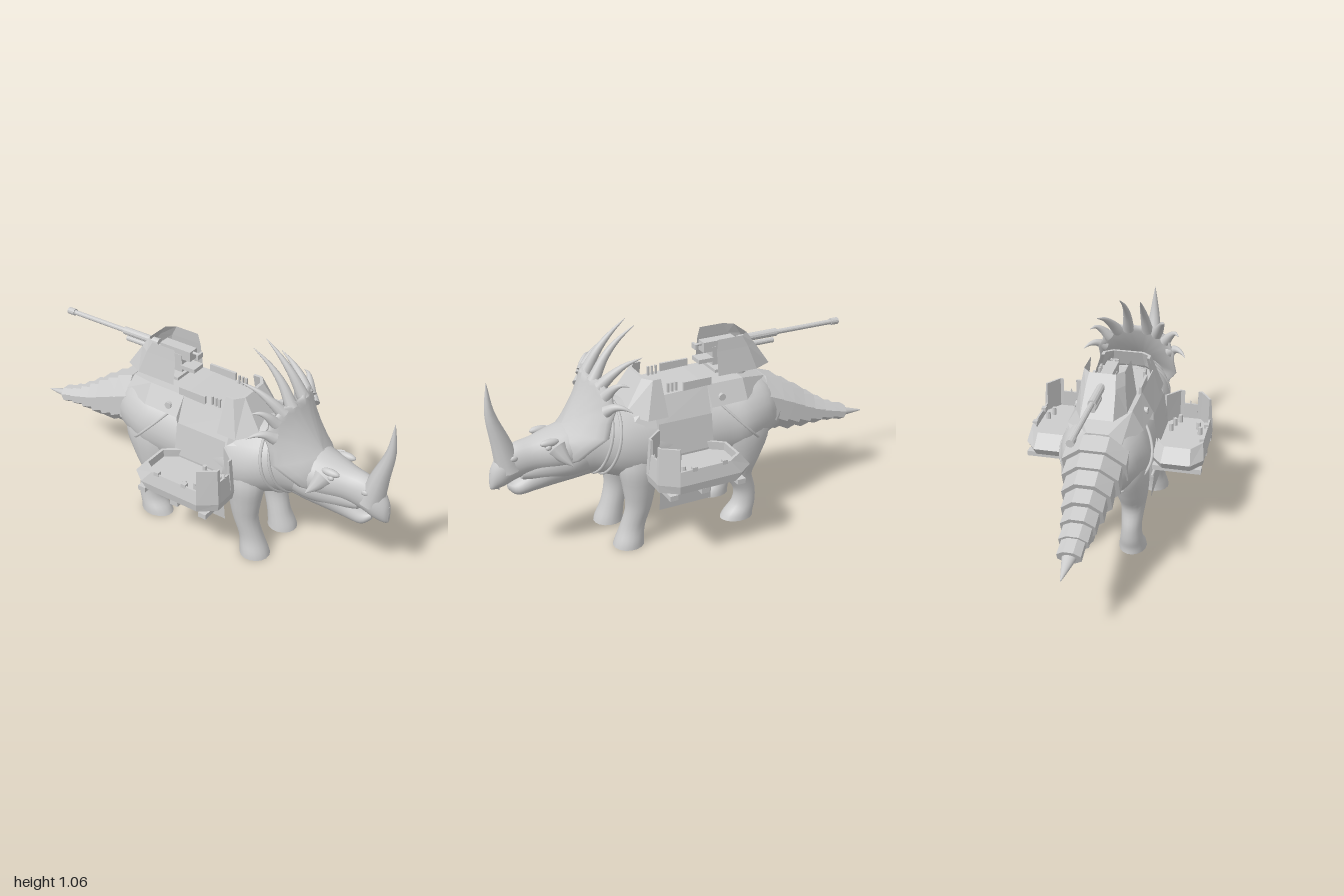
import * as THREE from 'three';

const smooth = new THREE.MeshStandardMaterial({ color: 0xcccccc });
const flat = new THREE.MeshStandardMaterial({ color: 0xcccccc, flatShading: true });
const sheet = new THREE.MeshStandardMaterial({ color: 0xcccccc, flatShading: true, side: THREE.DoubleSide });
const V = (x, y, z) => new THREE.Vector3(x, y, z);

export function createModel() {
  const model = new THREE.Group();
  const add = (name, geo, mat = flat) => {
    const m = new THREE.Mesh(geo, mat);
    m.name = name;
    model.add(m);
  };

  // Closed skin through rings of points, capped at both ends and turned outward
  function loft(rings) {
    const n = rings[0].length, pos = [], idx = [];
    const put = p => pos.push(p.x, p.y, p.z) / 3 - 1;
    rings.forEach(r => r.forEach(put));
    for (let i = 0; i < rings.length - 1; i++) for (let j = 0; j < n; j++) {
      const a = i * n + j, b = i * n + (j + 1) % n;
      idx.push(a, b, a + n, b, b + n, a + n);
    }
    [rings[0], rings[rings.length - 1]].forEach((r, end) => {
      const c = put(r.reduce((s, p) => s.add(p), V(0, 0, 0)).divideScalar(n));
      const e = r.map(put);
      for (let j = 0; j < n; j++) {
        const k = (j + 1) % n;
        end ? idx.push(c, e[j], e[k]) : idx.push(c, e[k], e[j]);
      }
    });
    const at = i => V(pos[3 * i], pos[3 * i + 1], pos[3 * i + 2]);
    let vol = 0;
    for (let i = 0; i < idx.length; i += 3) vol += at(idx[i]).dot(at(idx[i + 1]).cross(at(idx[i + 2])));
    if (vol < 0) idx.reverse();
    return finish(pos, idx);
  }
  function finish(pos, idx) {
    const g = new THREE.BufferGeometry();
    g.setAttribute('position', new THREE.Float32BufferAttribute(pos, 3));
    g.setIndex(idx);
    g.computeVertexNormals();
    return g;
  }
  // Open plate through rows of points
  function plate(rows) {
    const n = rows[0].length, idx = [];
    for (let i = 0; i < rows.length - 1; i++) for (let j = 0; j < n - 1; j++) {
      const a = i * n + j;
      idx.push(a, a + 1, a + n, a + 1, a + n + 1, a + n);
    }
    return finish(rows.flat(2), idx);
  }
  // Smooth in-between sections
  function dense(S, n = 4) {
    const out = [], g = i => S[Math.max(0, Math.min(S.length - 1, i))];
    for (let i = 0; i < S.length - 1; i++) for (let k = 0; k < n; k++) {
      const t = k / n;
      out.push(S[i].map((b, j) => {
        const a = g(i - 1)[j], c = g(i + 1)[j], d = g(i + 2)[j];
        return b + 0.5 * t * (c - a + t * (2 * a - 5 * b + 4 * c - d + t * (3 * (b - c) + d - a)));
      }));
    }
    return [...out, S[S.length - 1]];
  }
  const around = (n, f) => Array.from({ length: n }, (_, j) => f(Math.PI * 2 * (j + 0.5) / n));
  const ringZ = ([z, y, rx, ry], n = 24, tilt = 0) =>
    around(n, a => V(rx * Math.cos(a), y + ry * Math.sin(a), z - tilt * ry * Math.sin(a)));
  const trunk = (name, S) => add(name, loft(dense(S).map(s => ringZ(s))), smooth);
  const lookup = (S, z) => {
    let i = 0;
    while (i < S.length - 2 && S[i + 1][0] > z) i++;
    const t = (z - S[i][0]) / (S[i + 1][0] - S[i][0]);
    return S[i].map((v, j) => v + (S[i + 1][j] - v) * t);
  };
  // Curved tapering spike
  function horn(name, pts, r, squash = 1) {
    const c = new THREE.CatmullRomCurve3(pts.map(p => V(...p))), n = 12, f = c.computeFrenetFrames(n);
    add(name, loft(Array.from({ length: n + 1 }, (_, i) => {
      const p = c.getPointAt(i / n), q = r * Math.pow(1 - i / n, 0.95) + 0.001;
      return around(10, a => p.clone().addScaledVector(f.normals[i], q * Math.cos(a))
        .addScaledVector(f.binormals[i], q * squash * Math.sin(a)));
    })), smooth);
  }
  const box = (name, x, y, z, w, h, d) => add(name, new THREE.BoxGeometry(w, h, d).translate(x, y, z));
  const rod = (name, x, y, z0, z1, r) =>
    add(name, new THREE.CylinderGeometry(r, r, Math.abs(z1 - z0), 12).rotateX(Math.PI / 2).translate(x, y, (z0 + z1) / 2));
  const ball = (name, x, y, z, sx, sy, sz) =>
    add(name, new THREE.SphereGeometry(1, 16, 10).scale(sx, sy, sz).translate(x, y, z), smooth);

  // Body, neck and tail
  const body = [[0.62, 0.5, 0.1, 0.12], [0.52, 0.53, 0.14, 0.165], [0.42, 0.515, 0.19, 0.185], [0.3, 0.49, 0.208, 0.208],
    [0.1, 0.485, 0.2, 0.205], [-0.1, 0.495, 0.2, 0.205], [-0.22, 0.513, 0.21, 0.203], [-0.34, 0.53, 0.178, 0.17],
    [-0.42, 0.515, 0.13, 0.13], [-0.5, 0.49, 0.1, 0.1], [-0.7, 0.42, 0.06, 0.04], [-0.85, 0.375, 0.035, 0.026], [-1, 0.35, 0.003, 0.003]];
  trunk('body', body);

  // Harness straps follow the body
  const bodyFine = dense(body);
  const strap = (name, zMid, lean, grow) => add(name, new THREE.TubeGeometry(new THREE.CatmullRomCurve3(around(32, a => {
    const [z, y, rx, ry] = lookup(bodyFine, zMid + lean * Math.sin(a));
    return V(rx * grow * Math.cos(a), y + ry * 1.01 * Math.sin(a), z);
  }), true), 64, 0.007, 6, true), smooth);
  strap('neckStrap', 0.45, -0.045, 1.01);
  strap('neckStrap', 0.485, -0.045, 1.01);
  strap('hipStrap', -0.2, 0.17, 1.03);

  // Overlapping tail armour
  const tail = [[-0.33, 0.57, 0.155, 0.125], [-0.5, 0.495, 0.112, 0.1], [-0.6, 0.45, 0.088, 0.07],
    [-0.7, 0.42, 0.07, 0.045], [-0.87, 0.372, 0.042, 0.028]];
  for (let i = 0; i < 7; i++) {
    const z = -0.33 - i * 0.076, a = lookup(tail, z), b = lookup(tail, z - 0.084);
    add('tailArmour', loft([ringZ(a, 8, 0.42), ringZ([b[0], b[1], a[2] * 1.02, a[3] * 1.06], 8, 0.42)]));
  }

  // Skull, cheeks, jaw, nose horn and beak
  trunk('skull', [[0.52, 0.53, 0.1, 0.1], [0.62, 0.525, 0.125, 0.11], [0.7, 0.52, 0.112, 0.1], [0.8, 0.513, 0.077, 0.083],
    [0.88, 0.498, 0.062, 0.085], [0.94, 0.47, 0.055, 0.08], [0.985, 0.435, 0.033, 0.055], [1, 0.41, 0.01, 0.025]]);
  trunk('cheeks', [[0.52, 0.48, 0.1, 0.1], [0.62, 0.475, 0.118, 0.1], [0.7, 0.465, 0.102, 0.09],
    [0.8, 0.45, 0.068, 0.06], [0.86, 0.44, 0.045, 0.035]]);
  trunk('lowerJaw', [[0.52, 0.46, 0.09, 0.1], [0.62, 0.455, 0.1, 0.1], [0.72, 0.43, 0.082, 0.085],
    [0.8, 0.395, 0.06, 0.06], [0.88, 0.363, 0.04, 0.034], [0.92, 0.38, 0.012, 0.016]]);
  horn('noseHorn', [[0, 0.47, 0.905], [0, 0.6, 0.935], [0, 0.75, 0.972], [0, 0.895, 0.975]], 0.068, 0.92);
  horn('beakTip', [[0, 0.45, 0.96], [0, 0.41, 0.975], [0, 0.37, 0.96]], 0.038);

  // Domed frill, sweeping forward into the face, with a spiked rim
  const half = [[0.022, 0.85], [0.05, 0.875], [0.075, 0.85], [0.11, 0.86], [0.14, 0.828], [0.17, 0.815], [0.178, 0.775],
    [0.198, 0.745], [0.194, 0.68], [0.205, 0.61], [0.18, 0.56], [0.14, 0.5], [0.08, 0.46]];
  const rim = [...half, ...half.map(([x, y]) => [-x, y]).reverse()];
  const frillRing = (s, back) => rim.map(([px, py]) => {
    const x = px * s, y = 0.63 + (py - 0.63) * s, d = Math.min(0.87 - y, 0.3);
    return V(x, y, 0.525 + 0.25 * d + 1.2 * d * d - (1.5 + 8 * Math.max(d, 0)) * x * x - back);
  });
  add('frill', loft([...[0.02, 0.3, 0.6, 0.85, 0.97].map(s => frillRing(s, 0)), frillRing(1, 0.012),
    ...[0.97, 0.85, 0.6, 0.3, 0.02].map(s => frillRing(s, 0.028))]), smooth);
  for (const s of [-1, 1]) {
    horn('frillSpike', [[s * 0.05, 0.83, 0.51], [s * 0.044, 0.93, 0.45], [s * 0.044, 1, 0.385], [s * 0.051, 1.06, 0.305]], 0.029);
    horn('frillSpike', [[s * 0.1, 0.82, 0.5], [s * 0.125, 0.875, 0.45], [s * 0.145, 0.92, 0.39], [s * 0.167, 0.95, 0.32]], 0.029);
    horn('frillSpike', [[s * 0.145, 0.79, 0.49], [s * 0.18, 0.835, 0.465], [s * 0.205, 0.855, 0.44], [s * 0.226, 0.852, 0.41]], 0.028);
    horn('frillSpike', [[s * 0.17, 0.73, 0.5], [s * 0.205, 0.757, 0.47], [s * 0.235, 0.758, 0.44], [s * 0.262, 0.742, 0.41]], 0.027);
    horn('cheekHorn', [[s * 0.075, 0.55, 0.7], [s * 0.115, 0.515, 0.68], [s * 0.148, 0.485, 0.655]], 0.05);
    ball('browRidge', s * 0.075, 0.588, 0.735, 0.018, 0.018, 0.045);
    ball('eye', s * 0.088, 0.57, 0.745, 0.011, 0.012, 0.015);
    ball('nostril', s * 0.055, 0.535, 0.895, 0.008, 0.013, 0.017);
  }

  // Legs: height, x, z, half width, half depth
  const frontLeg = [[0, 0.127, 0.395, 0.072, 0.075], [0.03, 0.127, 0.39, 0.068, 0.07], [0.1, 0.125, 0.37, 0.056, 0.06],
    [0.2, 0.134, 0.342, 0.055, 0.064], [0.3, 0.132, 0.335, 0.068, 0.08], [0.42, 0.125, 0.33, 0.08, 0.1], [0.56, 0.1, 0.33, 0.06, 0.07]];
  const rearLeg = [[0, 0.13, -0.188, 0.066, 0.086], [0.03, 0.13, -0.198, 0.063, 0.076], [0.08, 0.13, -0.225, 0.053, 0.06],
    [0.15, 0.13, -0.228, 0.048, 0.056], [0.24, 0.13, -0.193, 0.058, 0.072], [0.33, 0.126, -0.2, 0.075, 0.11],
    [0.46, 0.118, -0.215, 0.085, 0.148], [0.6, 0.09, -0.21, 0.075, 0.12], [0.67, 0.08, -0.21, 0.035, 0.06]];
  for (const s of [-1, 1]) for (const [name, S] of [['frontLeg', frontLeg], ['rearLeg', rearLeg]])
    add(name, loft(dense(S).map(([y, x, z, rx, rz]) => around(16, a => V(s * x + rx * Math.cos(a), y, z + rz * Math.sin(a))))), smooth);

  // Saddle deck: z, top height, top half width, lower half width, lower height
  add('saddleDeck', loft([[0.37, 0.68, 0.08, 0.15, 0.62], [0.26, 0.73, 0.13, 0.185, 0.6], [-0.015, 0.74, 0.13, 0.185, 0.6],
    [-0.02, 0.74, 0.13, 0.185, 0.645], [-0.21, 0.737, 0.125, 0.178, 0.645], [-0.37, 0.69, 0.05, 0.11, 0.645]]
    .map(([z, t, a, b, l]) => [V(-b, l, z), V(-a, t, z), V(a, t, z), V(b, l, z)])));
  const mirrorRow = r => [...r, ...r.map(([x, y, z]) => [-x, y, z]).reverse()];
  add('saddleBulwark', plate([
    mirrorRow([[0.175, 0.64, 0.2], [0.175, 0.64, 0.3], [0.1, 0.66, 0.385]]),
    mirrorRow([[0.12, 0.81, 0.21], [0.12, 0.81, 0.25], [0.075, 0.81, 0.285]]),
    mirrorRow([[0.105, 0.81, 0.21], [0.105, 0.81, 0.245], [0.07, 0.81, 0.27]]),
    mirrorRow([[0.125, 0.73, 0.21], [0.125, 0.73, 0.26], [0.08, 0.73, 0.3]])]), sheet);

  // One side at a time: skirt, deck fittings and crew platform
  for (const s of [-1, 1]) {
    add('sideSkirt', plate([[0.187, 0.62], [0.21, 0.46], [0.198, 0.33], [0.18, 0.17]]
      .map(([x, y]) => [[s * x, y, 0.255], [s * x, y, -0.015]])), sheet);
    box('deckPanel', s * 0.125, 0.745, 0.03, 0.012, 0.06, 0.145);
    for (let i = 0; i < 3; i++) box('rackedRound', s * 0.11, 0.755, 0.13 + i * 0.02, 0.01, 0.045, 0.01);
    add('porthole', new THREE.CylinderGeometry(0.017, 0.017, 0.02, 14).rotateZ(Math.PI / 2).translate(s * 0.162, 0.68, -0.08));

    // Octagonal wall: x, z, share of the extra height at the front corners and the notch sill
    const plan = [[-0.012, 0.05, 0], [-0.012, 0.27, 0], [-0.012, 0.27, 1], [0.06, 0.35, 1], [0.085, 0.35, 1], [0.085, 0.35, 0.36],
      [0.165, 0.35, 0.36], [0.165, 0.35, 1], [0.185, 0.35, 1], [0.245, 0.27, 1], [0.245, 0.27, 0], [0.245, -0.04, 0],
      [0.19, -0.112, 0], [0.05, -0.112, 0], [-0.012, -0.04, 0]];
    const wallRing = (inset, y, raise = 0) => plan.map(([x, z, up]) => V(
      s * (0.3125 + (x - 0.1225) * (1 - inset / 0.125)), y + up * raise,
      z < 0 ? z + Math.min(inset * 4, 0.065) : 0.12 + (z - 0.12) * (1 - inset / 0.24)));
    add('platformHull', loft([wallRing(0.007, 0.385), wallRing(0, 0.425), wallRing(0.013, 0.49, 0.11),
      wallRing(0.022, 0.49, 0.11), wallRing(0.02, 0.45)]));
    for (const z of [0.295, 0.14, -0.045]) box('platformBeam', s * 0.31, 0.372, z, 0.235, 0.025, 0.04);
    rod('platformRail', s * 0.194, 0.325, 0.29, -0.07, 0.007);
    for (const z of [0.23, 0]) box('railBracket', s * 0.198, 0.35, z, 0.012, 0.05, 0.015);
    for (const [x, z] of [[0.25, 0.24], [0.27, 0.28], [0.37, 0.22], [0.385, 0.17], [0.24, 0.18]])
      add('platformFitting', new THREE.CylinderGeometry(0.01, 0.012, 0.04, 8).translate(s * x, 0.468, z));
    for (const z of [0.19, 0.04]) box('wallLatch', s * 0.414, 0.49, z, 0.022, 0.02, 0.025);
    add('notchPintle', new THREE.ConeGeometry(0.006, 0.025, 6).translate(s * 0.31, 0.54, 0.335));
  }

  // Gun mount, shield and rear-facing gun
  add('gunPedestal', new THREE.CylinderGeometry(0.065, 0.07, 0.04, 20).translate(0, 0.75, -0.22));
  box('gunTurntable', 0, 0.772, -0.21, 0.15, 0.015, 0.24);
  add('gunShield', plate([
    mirrorRow([[0.118, 0.765, -0.085], [0.118, 0.765, -0.29], [0.075, 0.765, -0.38]]),
    mirrorRow([[0.1, 0.88, -0.085], [0.1, 0.88, -0.25], [0.068, 0.88, -0.3]]),
    mirrorRow([[0.093, 0.935, -0.095], [0.093, 0.935, -0.22], [0.06, 0.935, -0.262]])]), sheet);
  box('gunCradle', 0, 0.83, -0.2, 0.06, 0.09, 0.2);
  box('breech', 0, 0.878, -0.14, 0.055, 0.05, 0.17);
  rod('breechHandle', 0, 0.89, -0.02, -0.08, 0.007);
  box('breechBlock', 0, 0.885, -0.02, 0.04, 0.025, 0.012);
  box('gunnerSeat', 0, 0.815, -0.065, 0.07, 0.02, 0.08);
  rod('barrelSleeve', 0, 0.88, -0.25, -0.46, 0.019);
  rod('barrel', 0, 0.88, -0.44, -0.8, 0.012);
  rod('muzzle', 0, 0.88, -0.775, -0.815, 0.017);
  rod('recoilCylinder', 0, 0.843, -0.25, -0.445, 0.013);
  return model;
}
